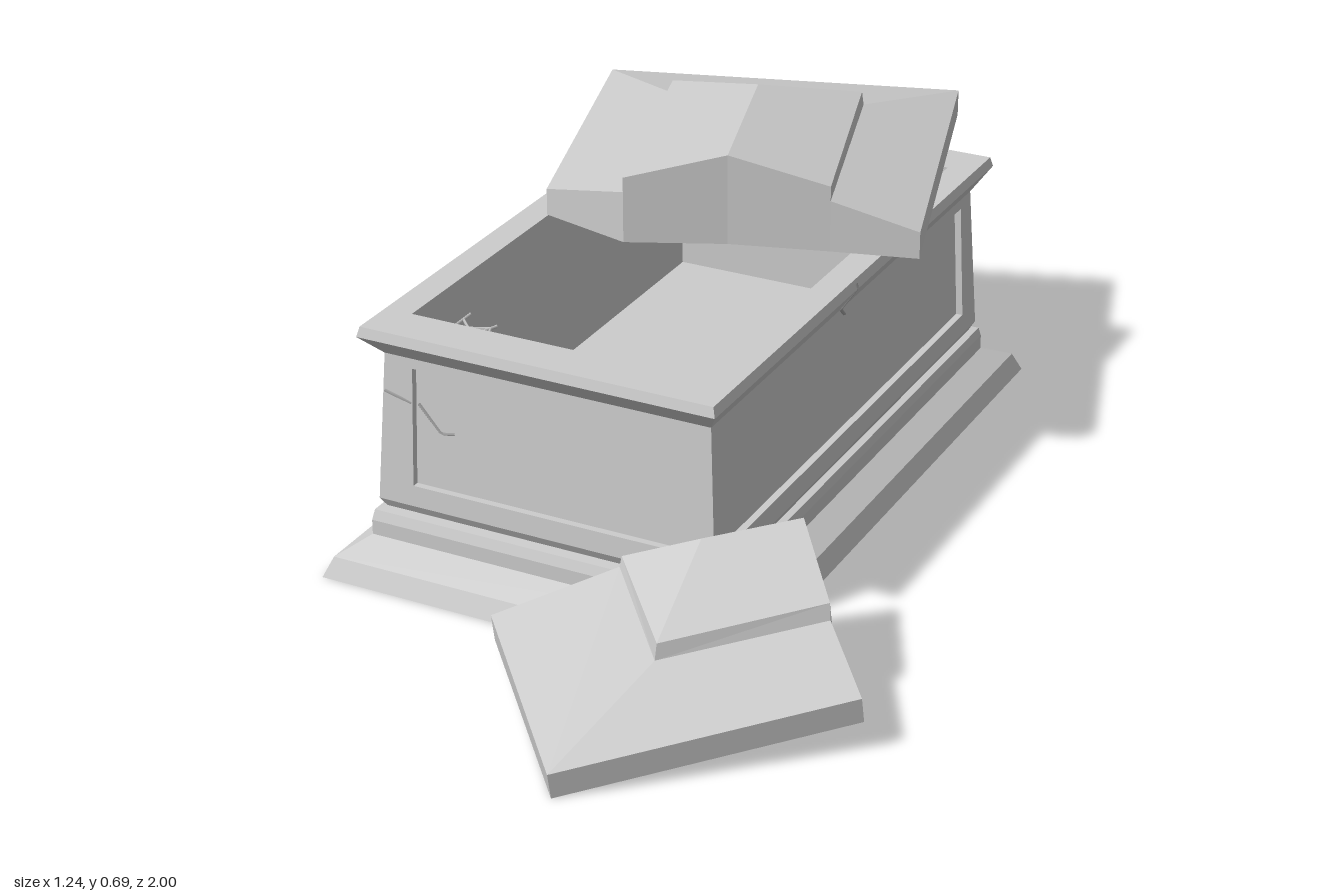
import * as THREE from 'three';

const stone = new THREE.MeshStandardMaterial({ color: 0xcccccc });
stone.name = 'stone';
const crackGrey = new THREE.MeshStandardMaterial({ color: 0xa8a8a8 });
crackGrey.name = 'crack grey';

const V = (x, y, z) => new THREE.Vector3(x, y, z);
const CX = -0.115, CZ = -0.172; // centre of the tomb

// Flat-shaded mesh from convex polygons; with an inner point, faces turn away from it
function faceted(name, faces, inside) {
  const pos = [];
  for (const f of faces) {
    for (let i = 1; i < f.length - 1; i++) {
      let [a, b, c] = [f[0], f[i], f[i + 1]];
      const n = b.clone().sub(a).cross(c.clone().sub(a));
      if (n.lengthSq() < 1e-14) continue;
      if (inside) {
        const mid = a.clone().add(b).add(c).divideScalar(3);
        if (n.dot(mid.sub(inside)) < 0) [b, c] = [c, b];
      }
      for (const p of [a, b, c]) pos.push(p.x, p.y, p.z);
    }
  }
  const g = new THREE.BufferGeometry();
  g.setAttribute('position', new THREE.Float32BufferAttribute(pos, 3));
  g.computeVertexNormals();
  const m = new THREE.Mesh(g, stone);
  m.name = name;
  return m;
}

// Rectangular ring of four corners: half width, half length, height
const ring = ([hx, hz, y]) =>
  [[-1, 1], [1, 1], [1, -1], [-1, -1]].map(([sx, sz]) => V(CX + sx * hx, y, CZ + sz * hz));

function loft(profile) {
  const rings = profile.map(ring), faces = [];
  for (let i = 0; i < rings.length - 1; i++) {
    for (let k = 0; k < 4; k++) {
      const n = (k + 1) % 4;
      faces.push([rings[i][k], rings[i][n], rings[i + 1][n], rings[i + 1][k]]);
    }
  }
  return { faces, first: rings[0], last: rings[rings.length - 1] };
}

// Sloping wall with a sunken rectangular panel
const WB = [0.353, 0.613, 0.14], WT = [0.337, 0.596, 0.44];
function panelWall(name, angle) {
  const end = Math.abs(Math.cos(angle)) > 0.5; // front or back
  const [ui, oi] = end ? [0, 1] : [1, 0];
  const pu = end ? 0.278 : 0.545;
  const point = (u, y, depth) => {
    const out = THREE.MathUtils.mapLinear(y, 0.14, 0.44, WB[oi], WT[oi]) - depth;
    return V(u, y, out).applyAxisAngle(V(0, 1, 0), angle).add(V(CX, 0, CZ));
  };
  const corners = [[-1, 0], [1, 0], [1, 1], [-1, 1]];
  const outer = corners.map(([s, t]) => { const w = t ? WT : WB; return point(s * w[ui], w[2], 0); });
  const edge = d => corners.map(([s, t]) => point(s * pu, t ? 0.42 : 0.182, d));
  const lip = edge(0), sunk = edge(0.014);
  const faces = [sunk];
  for (let k = 0; k < 4; k++) {
    const n = (k + 1) % 4;
    faces.push([outer[k], outer[n], lip[n], lip[k]], [lip[k], lip[n], sunk[n], sunk[k]]);
  }
  return faceted(name, faces);
}

// Large lid piece: hipped at the back, broken off at the front
function mainLid() {
  const B = 0.505, E = 0.56, T = 0.61, U = 0.64, R = 0.69;
  const P = (s, t, y) => V(-0.2625 + 0.956 * s + 0.294 * t, y, -0.89 - 0.294 * s + 0.956 * t);
  // outline of the break: across, along, height
  const brk = [[-0.374, 0.67, E], [-0.2, 0.777, T], [-0.2, 0.777, U], [0, 0.752, R],
    [0.2, 0.754, U], [0.2, 0.754, T], [0.374, 0.76, E]].map(a => P(...a));
  const low = brk.map(p => V(p.x, B, p.z));
  const e = [P(-0.374, 0, E), P(0.374, 0, E)], b = [P(-0.374, 0, B), P(0.374, 0, B)];
  const t = [P(-0.2, 0.242, T), P(0.2, 0.242, T)];
  const u = [P(-0.197, 0.248, U), P(0.197, 0.248, U)], apex = P(0, 0.37, R);
  const faces = [
    [b[0], b[1], e[1], e[0]], [b[0], e[0], brk[0], low[0]], [b[1], e[1], brk[6], low[6]],
    [e[0], e[1], t[1], t[0]], [e[0], t[0], brk[1], brk[0]], [e[1], t[1], brk[5], brk[6]],
    [t[0], t[1], u[1], u[0]], [t[0], u[0], brk[2], brk[1]], [t[1], u[1], brk[4], brk[5]],
    [u[0], u[1], apex], [u[0], apex, brk[3], brk[2]], [u[1], apex, brk[3], brk[4]],
    [b[0], b[1], ...low.slice().reverse()],
  ];
  for (let i = 0; i < 6; i++) faces.push([low[i], low[i + 1], brk[i + 1], brk[i]]);
  return faceted('mainLid', faces, P(0, 0.45, 0.55));
}

// Broken lid corner leaning on the ground
function brokenLid() {
  const bx = 0.049, bz = -0.1215;
  const under = p => { // project onto the tilted underside
    const h = p.y - (bx * (p.x - 0.22) + bz * (p.z - 0.97));
    const q = V(p.x + bx * h, 0, p.z + bz * h);
    q.y = Math.max(0, bx * (q.x - 0.22) + bz * (q.z - 0.97));
    return q;
  };
  const e0 = V(0.205, 0.05, 1), e1 = V(0.615, 0.11, 0.635), e2 = V(-0.115, 0.08, 0.635);
  const t0 = V(0.262, 0.135, 0.72), t1 = V(0.5, 0.17, 0.515), t2 = V(0.08, 0.165, 0.507);
  const u0 = V(0.262, 0.165, 0.712), u1 = V(0.495, 0.2, 0.508), u2 = V(0.082, 0.185, 0.502);
  const a = V(0.37, 0.26, 0.35), b = V(0.225, 0.24, 0.468);
  const rim = [e0, e1, t1, u1, a, b, u2, t2, e2];
  const low = rim.map(under);
  const faces = [[e0, e1, t1, t0], [e0, t0, t2, e2], [t0, t1, u1, u0], [t0, u0, u2, t2],
    [u0, u1, a, b], [u0, b, u2], low];
  rim.forEach((p, i) => {
    const n = (i + 1) % rim.length;
    faces.push([low[i], low[n], rim[n], p]);
  });
  return faceted('brokenLid', faces, V(0.26, 0.1, 0.65));
}

function strand(name, pts, radius, material) {
  const path = new THREE.CatmullRomCurve3(pts, false, 'catmullrom', 0.1);
  const m = new THREE.Mesh(new THREE.TubeGeometry(path, pts.length * 4, radius, 4), material);
  m.name = name;
  return m;
}

// Cobweb in the inner front corner: spokes joined by sagging threads
function cobweb() {
  const g = new THREE.Group();
  g.name = 'cobweb';
  const at = (r, a) => V(-0.418 + r * Math.cos(a), 0.42, 0.373 - r * Math.sin(a));
  const angles = [0, 0.25, 0.5, 0.75, 1].map(k => k * Math.PI / 2);
  const reach = [0.22, 0.2, 0.19, 0.19, 0.2];
  angles.forEach((a, i) => g.add(strand('webSpoke', [at(0, a), at(reach[i], a)], 0.0035, stone)));
  for (const r of [0.05, 0.09, 0.135, 0.175]) {
    for (let i = 0; i < 4; i++) {
      const pts = [at(r, angles[i]), at(r * 0.85, (angles[i] + angles[i + 1]) / 2), at(r, angles[i + 1])];
      g.add(strand('webThread', pts, 0.003, stone));
    }
  }
  return g;
}

export function createModel() {
  const model = new THREE.Group();
  model.name = 'brokenTomb';

  // Stepped plinth
  const plinth = loft([[0.425, 0.7125, 0], [0.408, 0.695, 0.04], [0.36, 0.632, 0.07],
    [0.36, 0.632, 0.1], [0.357, 0.625, 0.12], [0.343, 0.603, 0.122], WB]);
  model.add(faceted('plinth', [...plinth.faces, plinth.first.slice().reverse()]));

  // Four panelled walls
  ['frontWall', 'leftWall', 'backWall', 'rightWall'].forEach((name, i) =>
    model.add(panelWall(name, i * Math.PI / 2)));

  // Flared rim, hollow and floor
  const rim = loft([WT, [0.367, 0.642, 0.485], [0.362, 0.637, 0.505],
    [0.305, 0.547, 0.505], [0.305, 0.547, 0.17]]);
  model.add(faceted('rimAndHollow', [...rim.faces, rim.last]));

  model.add(mainLid(), brokenLid(), cobweb());

  // Hairline cracks
  const cracks = [
    [V(-0.457, 0.36, 0.35), V(-0.456, 0.365, 0.427), V(-0.395, 0.35, 0.427)],
    [V(-0.388, 0.345, 0.415), V(-0.34, 0.295, 0.417), V(-0.31, 0.3, 0.417)],
    [V(0.25, 0.5, -0.13), V(0.249, 0.485, -0.135), V(0.224, 0.445, -0.12), V(0.223, 0.425, -0.14)],
    [V(-0.467, 0.2, -0.34), V(-0.467, 0.145, -0.36), V(-0.474, 0.1, -0.35)],
  ];
  cracks.forEach(c => model.add(strand('crack', c, 0.004, crackGrey)));
  return model;
}
